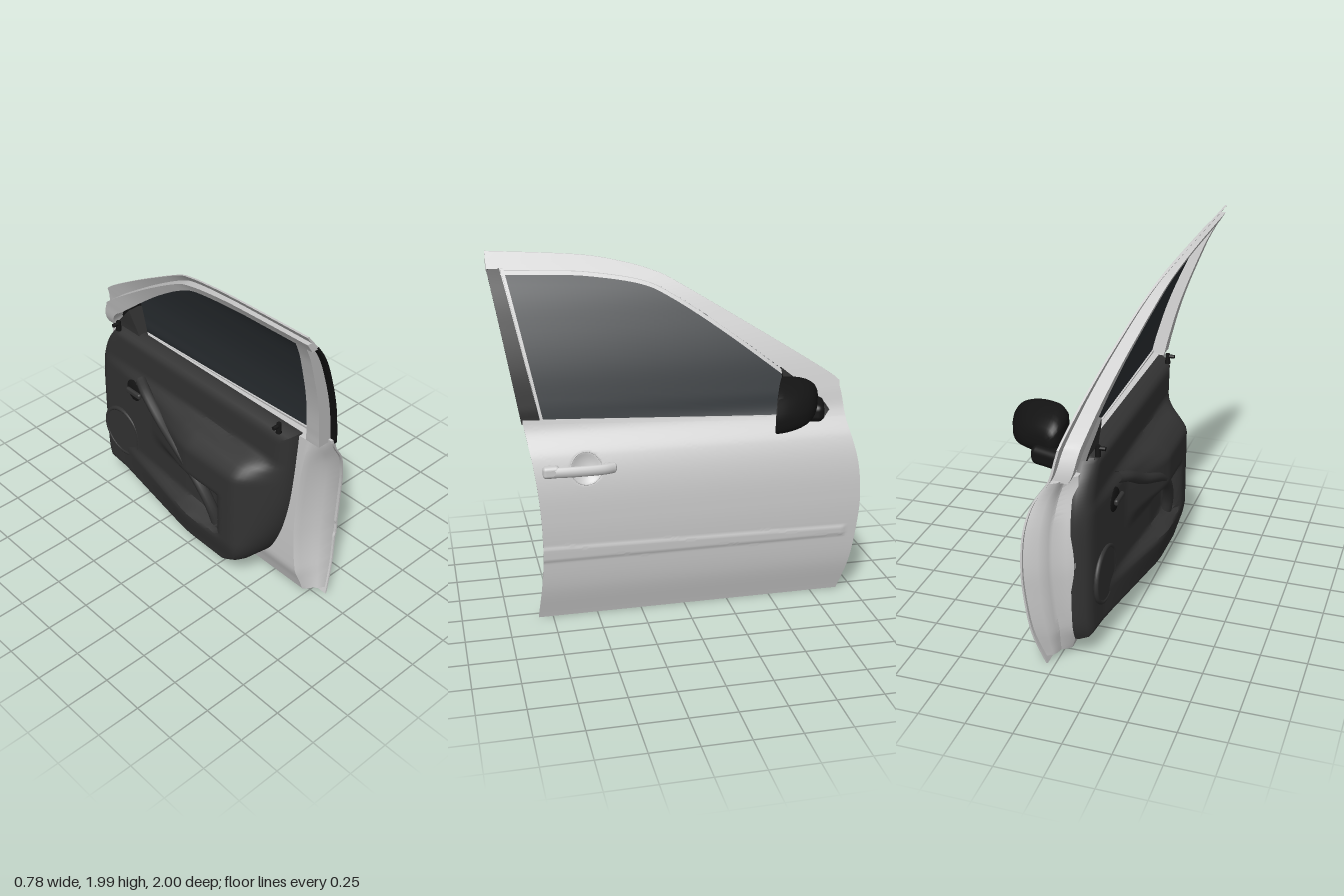
import * as THREE from 'three';
import { toCreasedNormals } from 'three/addons/utils/BufferGeometryUtils.js';
import { RoundedBoxGeometry } from 'three/addons/geometries/RoundedBoxGeometry.js';

const mat = (color) => new THREE.MeshStandardMaterial({ color, side: THREE.DoubleSide });
const paint = mat(0xcccccc), dark = mat(0x333333), black = mat(0x141414), glassMat = mat(0x2e3337);
const ss = THREE.MathUtils.smoothstep;

// Smooth curve through [z, y] points, evenly sampled
const curve = (p, n = 40) => new THREE.SplineCurve(p.map((q) => new THREE.Vector2(...q))).getSpacedPoints(n);

// Cubic interpolation of a [y, x] table
function table(p) {
  const m = p.map((_, i) => {
    const a = p[Math.max(i - 1, 0)], b = p[Math.min(i + 1, p.length - 1)];
    return (b[1] - a[1]) / (b[0] - a[0]);
  });
  return (y) => {
    let i = 0;
    while (i < p.length - 2 && y > p[i + 1][0]) i++;
    const h = p[i + 1][0] - p[i][0], t = (y - p[i][0]) / h, t2 = t * t, t3 = t2 * t;
    return (2 * t3 - 3 * t2 + 1) * p[i][1] + (t3 - 2 * t2 + t) * h * m[i]
      + (3 * t2 - 2 * t3) * p[i + 1][1] + (t3 - t2) * h * m[i + 1];
  };
}

// Closed rings joined into a solid, capped at both ends, facing outwards
function loft(rings, crease = 0.7) {
  const pos = [], idx = [], n = rings[0].length, last = (rings.length - 1) * n;
  rings.forEach((r) => r.forEach((v) => pos.push(v.x, v.y, v.z)));
  for (let i = 0; i < rings.length - 1; i++) for (let j = 0; j < n; j++) {
    const a = i * n + j, b = i * n + (j + 1) % n;
    idx.push(a, b, a + n, b, b + n, a + n);
  }
  [rings[0], rings[rings.length - 1]].forEach((r, e) => {
    const c = r.reduce((s, v) => s.add(v), new THREE.Vector3()).divideScalar(n), k = pos.length / 3;
    pos.push(c.x, c.y, c.z);
    for (let j = 0; j < n; j++) {
      const a = j, b = (j + 1) % n;
      e ? idx.push(k, last + a, last + b) : idx.push(k, b, a);
    }
  });
  const at = (i) => new THREE.Vector3().fromArray(pos, 3 * i);
  let volume = 0;
  for (let i = 0; i < idx.length; i += 3) volume += at(idx[i]).dot(at(idx[i + 1]).cross(at(idx[i + 2])));
  if (volume < 0) idx.reverse();
  const g = new THREE.BufferGeometry();
  g.setAttribute('position', new THREE.Float32BufferAttribute(pos, 3));
  g.setIndex(idx);
  return toCreasedNormals(g, crease);
}

// Solid between two [z, y] edge curves, with x rules for its outer and inner faces
function slab(A, B, outer, inner, n = 8) {
  return loft(A.map((a, i) => {
    const t = i / (A.length - 1), row = (f) => Array.from({ length: n + 1 }, (_, j) => {
      const u = j / n, z = a.x + (B[i].x - a.x) * u, y = a.y + (B[i].y - a.y) * u;
      return new THREE.Vector3(f(y, z, u, t), y, z);
    });
    return [...row(outer), ...row(inner).reverse()];
  }));
}

// Outer surface: side profile, raised moulding and the dish behind the handle
const profile = table([[0, 0.05], [0.2, 0.105], [0.4, 0.13], [0.6, 0.14], [0.8, 0.13], [0.95, 0.09], [1.08, 0.01],
  [1.2, -0.02], [1.4, -0.075], [1.6, -0.15], [1.8, -0.245], [1.99, -0.385]]);
const dish = { z: 0.55, y: 0.885, r: 0.085 };
function skin(y, z) {
  const r = Math.hypot(z - dish.z, y - dish.y) / dish.r, top = 0.437 + 0.015 * z;
  const moulding = ss(y, 0.36, 0.378) * (1 - ss(y, top - 0.008, top + 0.01)) * ss(z, -0.93, -0.9);
  return profile(y) + 0.006 * moulding - 0.03 * Math.max(0, 1 - r * r);
}
const off = (d) => (y, z) => skin(y, z) + d;

// Depth of the inside trim: armrest, door pocket and rear border stand proud of a hollow middle
const ramp = (v, a, b) => THREE.MathUtils.clamp((v - a) / (b - a), 0, 1);
function trimDepth(y, z) {
  const arm = ss(y, 0.52, 0.64) * (1 - ss(y, 0.78, 0.92)) * ramp(z, -0.35, 0.08);
  const pocket = (1 - ss(y, 0.32, 0.38)) * ramp(z, -0.65, 0.08);
  const border = ss(z, 0.24, 0.36) * (1 - ss(y, 0.74, 0.9));
  const body = ramp(z, -0.85, 0) * (1 - ss(y, 0.86, 0.93));
  const proud = 0.09 * Math.max(arm, pocket, border) * (0.6 + 0.4 * ss(y, 0.12, 0.34));
  return 0.17 + (0.07 * body + proud) * (1 - ss(z, 0.44, 0.68));
}

export function createModel() {
  const door = new THREE.Group();
  door.name = 'carDoor';
  const add = (name, geo, m, x = 0, y = 0, z = 0, parent = door) => {
    const mesh = new THREE.Mesh(geo, m);
    mesh.name = name;
    mesh.position.set(x, y, z);
    parent.add(mesh);
    return mesh;
  };

  // Lower panel and the inner shell, whose jambs slope in from the panel edge in steps
  const front = [[-0.91, 0], [-0.96, 0.2], [-0.99, 0.43], [-1, 0.6], [-0.985, 0.8], [-0.94, 1], [-0.932, 1.06]];
  const rear = [[0.83, 0], [0.803, 0.3], [0.8, 0.5], [0.81, 0.7], [0.832, 0.9], [0.87, 1.13]];
  const inset = (p, dz, y0) => p.map(([z, y]) => [z + dz, y0 + y * (1 - y0)]);
  add('outerPanel', slab(curve(front, 120), curve(rear, 120), off(0), off(-0.01), 130), paint);
  const shellIn = table([[0, -0.04], [0.1, -0.07], [0.2, -0.1], [0.9, -0.1], [1.02, -0.1], [1.15, -0.1]]);
  const jamb = table([[0, 0], [0.02, 0.3], [0.05, 0.45], [0.08, 0.55], [0.11, 1], [0.14, 1]]);
  add('innerShell', slab(curve(inset(front, 0.015, 0.035)), curve(inset(rear, -0.015, 0.035)), off(-0.009),
    (y, z, u) => {
      const k = Math.min(jamb(Math.min(u * 1.75, 0.13)), jamb(Math.min((1 - u) * 3, 0.13)));
      return THREE.MathUtils.lerp(profile(y) - 0.012, shellIn(y), k);
    }, 90), paint);

  // Window frame: thin outer flange plus a deeper channel
  const frameOut = [[-0.932, 1.05], [-0.925, 1.13], [-0.91, 1.21], [-0.885, 1.265], [-0.6, 1.45], [-0.3, 1.635],
    [0, 1.815], [0.1, 1.86], [0.25, 1.905], [0.5, 1.95], [1, 1.985]];
  const frameIn = [[-0.82, 1.05], [-0.815, 1.1], [-0.78, 1.16], [-0.72, 1.21], [-0.55, 1.345], [-0.26, 1.565],
    [0, 1.74], [0.17, 1.82], [0.46, 1.87], [0.7, 1.885], [1, 1.9]];
  const O = curve(frameOut, 70), I = curve(frameIn, 70);
  const mid = (k) => O.map((p, i) => p.clone().lerp(I[i], k));
  const channelDepth = table([[1, 0.1], [1.25, 0.095], [1.7, 0.075], [1.82, 0.06], [1.9, 0.045], [2, 0.03]]);
  const channelIn = (y) => profile(y) - channelDepth(y);
  add('frameFlange', slab(O, I, off(0), off(-0.012)), paint);
  add('frameChannel', slab(mid(0.5), mid(1.12), off(-0.01), channelIn), paint);

  // Rear window pillar with its black cover
  const pillar = (z0, z1) => curve([[z0, 1.12], [z1, 1.9]]);
  add('pillarCover', slab(pillar(0.775, 0.93), pillar(0.875, 1), off(0.002), off(-0.014)), black);
  add('rearPillar', slab(pillar(0.755, 0.895), pillar(0.845, 0.965), off(-0.013), channelIn), paint);

  // Glass and the bright strips around it
  const glassTop = curve([...frameIn.slice(0, -1), [0.92, 1.895]], 70);
  add('windowGlass', slab(glassTop, curve([[-0.82, 1.04], [0.775, 1.12]], 70), off(-0.01), off(-0.02), 20), glassMat);
  const edge = (dz, dy) => glassTop.slice(12).map((p) => new THREE.Vector2(p.x + dz, p.y + dy));
  add('upperStrip', slab(edge(0, -0.004), edge(0.008, -0.022), off(0.008), off(-0.015), 2), paint);
  add('rearStrip', slab(pillar(0.757, 0.908), pillar(0.773, 0.924), off(0.006), off(-0.015), 2), paint);
  add('beltStrip', slab(curve([[-0.65, 1.068], [0.87, 1.142]]), curve([[-0.65, 1.05], [0.87, 1.122]]),
    off(0.01), off(-0.03), 2), paint);

  // Outside handle with the rim of its dish
  const handle = new THREE.Group();
  handle.name = 'outsideHandle';
  door.add(handle);
  const bow = new THREE.CatmullRomCurve3([[0.125, 0.4], [0.14, 0.45], [0.146, 0.58], [0.14, 0.7], [0.125, 0.77]]
    .map(([x, z]) => new THREE.Vector3(x, 0, z)));
  add('grip', new THREE.TubeGeometry(bow, 24, 0.02, 12), paint, 0, 0.885, 0, handle).scale.y = 1.5;
  add('frontMount', new RoundedBoxGeometry(0.05, 0.055, 0.075, 3, 0.02), paint, 0.12, 0.885, 0.425, handle);
  add('rearMount', new RoundedBoxGeometry(0.056, 0.066, 0.09, 3, 0.02), paint, 0.125, 0.887, 0.742, handle);
  add('lockBarrel', new THREE.CylinderGeometry(0.016, 0.016, 0.02, 20), paint, 0.147, 0.89, 0.735, handle)
    .rotation.z = Math.PI / 2;
  const rimPath = new THREE.CatmullRomCurve3(Array.from({ length: 24 }, (_, i) => {
    const a = i / 24 * Math.PI * 2, y = dish.y + dish.r * Math.sin(a);
    return new THREE.Vector3(profile(y), y, dish.z + dish.r * Math.cos(a));
  }), true);
  add('dishRim', new THREE.TubeGeometry(rimPath, 48, 0.003, 6, true), paint, 0, 0, 0, handle);

  // Mirror: domed housing swept inwards and down, recessed glass, foot and corner cover
  const mirror = new THREE.Group();
  mirror.name = 'sideMirror';
  door.add(mirror);
  const rim = new THREE.SplineCurve([[0.03, 1.28], [0.08, 1.318], [0.2, 1.31], [0.31, 1.265], [0.37, 1.2],
    [0.385, 1.15], [0.365, 1.092], [0.2, 1.078], [0.06, 1.07], [0.035, 1.13], [0.025, 1.2], [0.03, 1.28]]
    .map((p) => new THREE.Vector2(...p))).getSpacedPoints(48).slice(0, 48);
  const ring = (s, depth) => rim.map((p) => {
    const x = 0.18 + (p.x - 0.18) * s, y = 1.19 + (p.y - 1.19) * s;
    return new THREE.Vector3(x - depth * 0.2, y - depth * 0.05, -0.575 + 0.4 * x - depth);
  });
  const dome = [0, 0.15, 0.3, 0.5, 0.7, 0.9, 1.1, 1.3, 1.45, 1.55]
    .map((a) => ring(Math.pow(Math.cos(a), 0.6), 0.225 * Math.sin(a)));
  add('housing', loft([ring(0.89, 0.02), ring(0.9, 0), ring(0.97, -0.006), ...dome], 0.8), black, 0, 0, 0, mirror);
  add('mirrorGlass', loft([ring(0.89, 0.004), ring(0.89, 0.025)]), paint, 0, 0, 0, mirror);
  const foot = add('mirrorFoot', new RoundedBoxGeometry(0.2, 0.1, 0.18, 4, 0.035), black, 0.055, 1.115, -0.7, mirror);
  foot.rotation.y = -0.3;
  const sailTop = curve([[-0.84, 1.09], [-0.78, 1.165], [-0.57, 1.335]], 16);
  const sailLow = curve([[-0.8, 1.045], [-0.7, 1.05], [-0.62, 1.055]], 16);
  add('cornerCover', slab(sailTop, sailLow, off(0.012), off(-0.03)), black, 0, 0, 0, mirror);

  // Inside trim panel
  const trim = new THREE.Group();
  trim.name = 'insideTrim';
  door.add(trim);
  const trimFront = [[-0.82, 0.12], [-0.86, 0.25], [-0.87, 0.6], [-0.86, 0.85], [-0.8, 1.02], [-0.7, 1.13]];
  const trimRear = [[0.35, 0.12], [0.5, 0.2], [0.6, 0.38], [0.66, 0.6], [0.69, 0.85], [0.71, 1.13]];
  const rounded = (y, z, u, t) => {
    const e = Math.min(1, Math.min(u, 1 - u, t, 1 - t) / 0.06);
    return -0.1 - (trimDepth(y, z) - 0.1) * Math.sqrt(1 - (1 - e) * (1 - e));
  };
  add('trimPanel', slab(curve(trimFront, 60), curve(trimRear, 60), () => -0.08, rounded, 60), dark, 0, 0, 0, trim);
  add('innerCornerCover', slab(curve([[-0.74, 1.12], [-0.58, 1.29]], 8), curve([[-0.66, 1.08], [-0.53, 1.1]], 8),
    () => -0.06, (y) => -0.12 - 0.03 * ss(y, 1.1, 1.3)), dark, 0, 0, 0, trim);

  // Speaker, pull handle, armrest cup, release lever and lock knobs
  const speakerX = -trimDepth(0.43, -0.64);
  add('speakerRing', new THREE.TorusGeometry(0.15, 0.014, 8, 40), dark, speakerX, 0.43, -0.64, trim)
    .rotation.y = Math.PI / 2;
  add('speakerGrille', new THREE.CylinderGeometry(0.15, 0.15, 0.02, 40), dark, speakerX, 0.43, -0.64, trim)
    .rotation.z = Math.PI / 2;
  const pull = new THREE.CatmullRomCurve3([[-0.19, 0.9, -0.45], [-0.225, 0.87, -0.36], [-0.255, 0.78, -0.2],
    [-0.29, 0.7, 0], [-0.295, 0.6, 0.14], [-0.28, 0.45, 0.24], [-0.26, 0.33, 0.27]].map((p) => new THREE.Vector3(...p)));
  add('pullHandle', new THREE.TubeGeometry(pull, 36, 0.032, 10), dark, 0, 0, 0, trim);
  add('armrestCup', new RoundedBoxGeometry(0.1, 0.03, 0.22, 2, 0.01), black, -0.255, 0.8, 0.25, trim);
  add('leverRecess', new THREE.SphereGeometry(0.075, 24, 12), black, -0.19, 0.8, -0.5, trim).scale.x = 0.25;
  add('releaseLever', new RoundedBoxGeometry(0.025, 0.035, 0.12, 3, 0.012), dark, -0.215, 0.8, -0.49, trim);
  for (const z of [-0.67, 0.62]) {
    add('lockKnob', new THREE.CylinderGeometry(0.013, 0.016, 0.06, 12), black, -0.16, 1.15, z, trim);
    add('knobCap', new THREE.CylinderGeometry(0.011, 0.011, 0.045, 12), black, -0.178, 1.165, z, trim)
      .rotation.z = Math.PI / 2;
  }
  return door;
}
